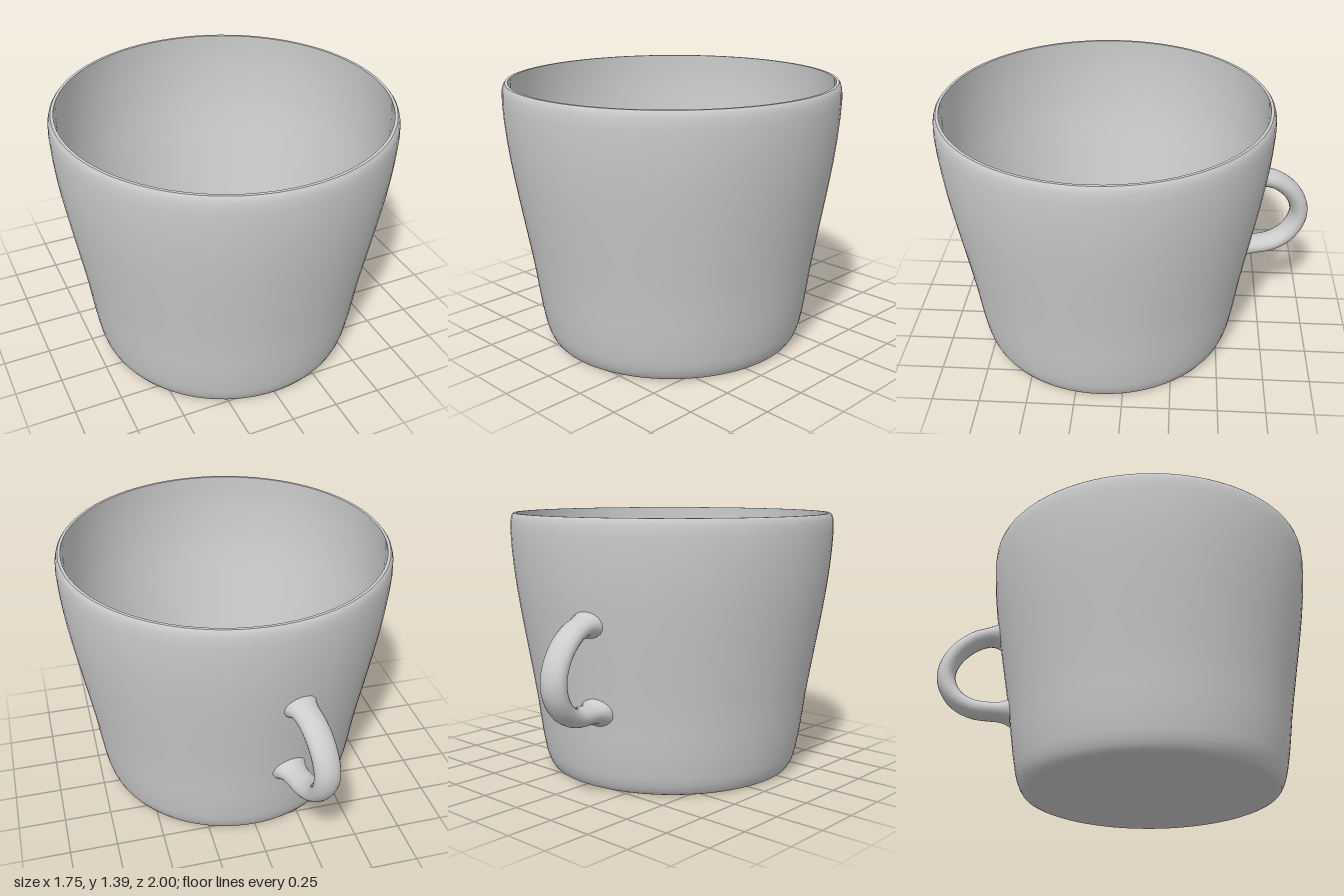
import * as THREE from 'three';

const porcelain = new THREE.MeshStandardMaterial({ color: 0xcccccc });
porcelain.name = 'porcelain grey';

// Wall profiles as [radius, height]; the wall thickens towards the floor
const OUTER = [
  [0.652, 0], [0.668, 0.007], [0.683, 0.03], [0.695, 0.06], [0.706, 0.1], [0.724, 0.2],
  [0.738, 0.3], [0.751, 0.4], [0.767, 0.5], [0.789, 0.63], [0.818, 0.8], [0.834, 0.9],
  [0.849, 1.0], [0.861, 1.1], [0.87, 1.2], [0.875, 1.3], [0.872, 1.355], [0.865, 1.38], [0.857, 1.39],
];
const INNER = [
  [0.842, 1.39], [0.844, 1.3], [0.839, 1.2], [0.829, 1.08], [0.812, 0.95], [0.78, 0.8],
  [0.744, 0.63], [0.695, 0.4], [0.652, 0.2], [0.63, 0.1],
];

function lathe(name, profile) {
  const points = profile.map(([r, y]) => new THREE.Vector2(r, y));
  const mesh = new THREE.Mesh(new THREE.LatheGeometry(points, 80), porcelain);
  mesh.name = name;
  return mesh;
}

// Oval tube swept along a curve in the xy plane, flared where it meets the wall
function sweepHandle(curve, steps, sides) {
  const positions = [], index = [];
  const side = new THREE.Vector3(0, 0, 1);
  for (let i = 0; i <= steps; i++) {
    const t = i / steps;
    const centre = curve.getPointAt(t);
    const normal = side.clone().cross(curve.getTangentAt(t)).normalize();
    const end = Math.min(t, 1 - t);
    const flare = 0.028 * Math.pow(Math.max(0, 1 - end / 0.1), 2);
    for (let j = 0; j < sides; j++) {
      const a = (j / sides) * Math.PI * 2;
      const p = centre.clone()
        .addScaledVector(normal, (0.049 + flare) * Math.cos(a))
        .addScaledVector(side, (0.07 + flare) * Math.sin(a));
      positions.push(p.x, p.y, p.z);
      if (i < steps) {
        const k = i * sides, n = (j + 1) % sides;
        index.push(k + j, k + n, k + sides + j, k + n, k + sides + n, k + sides + j);
      }
    }
  }
  const geometry = new THREE.BufferGeometry();
  geometry.setAttribute('position', new THREE.Float32BufferAttribute(positions, 3));
  geometry.setIndex(index);
  geometry.computeVertexNormals();
  return geometry;
}

export function createModel() {
  const model = new THREE.Group();
  model.name = 'cup';
  const cup = new THREE.Group();
  cup.name = 'cupBody';
  cup.position.z = 0.125;
  model.add(cup);

  // Body: separate lathes keep the base, rim and floor edges sharp
  const floorEdge = INNER[INNER.length - 1];
  cup.add(
    lathe('base', [[0, 0], OUTER[0]]),
    lathe('outerWall', OUTER),
    lathe('rim', [OUTER[OUTER.length - 1], INNER[0]]),
    lathe('innerWall', INNER),
    lathe('innerFloor', [floorEdge, [0, floorEdge[1]]]),
  );

  // Handle: a small loop low on the back, turned slightly to the right
  const path = new THREE.CatmullRomCurve3([
    [0.812, 0.88], [0.87, 0.876], [0.95, 0.85], [1.03, 0.789], [1.083, 0.71], [1.1, 0.635],
    [1.083, 0.56], [1.03, 0.489], [0.95, 0.446], [0.86, 0.434], [0.745, 0.432],
  ].map(([x, y]) => new THREE.Vector3(x, y, 0)));
  const handle = new THREE.Mesh(sweepHandle(path, 48, 20), porcelain);
  handle.name = 'handle';
  handle.rotation.y = THREE.MathUtils.degToRad(102.2);
  cup.add(handle);

  return model;
}
